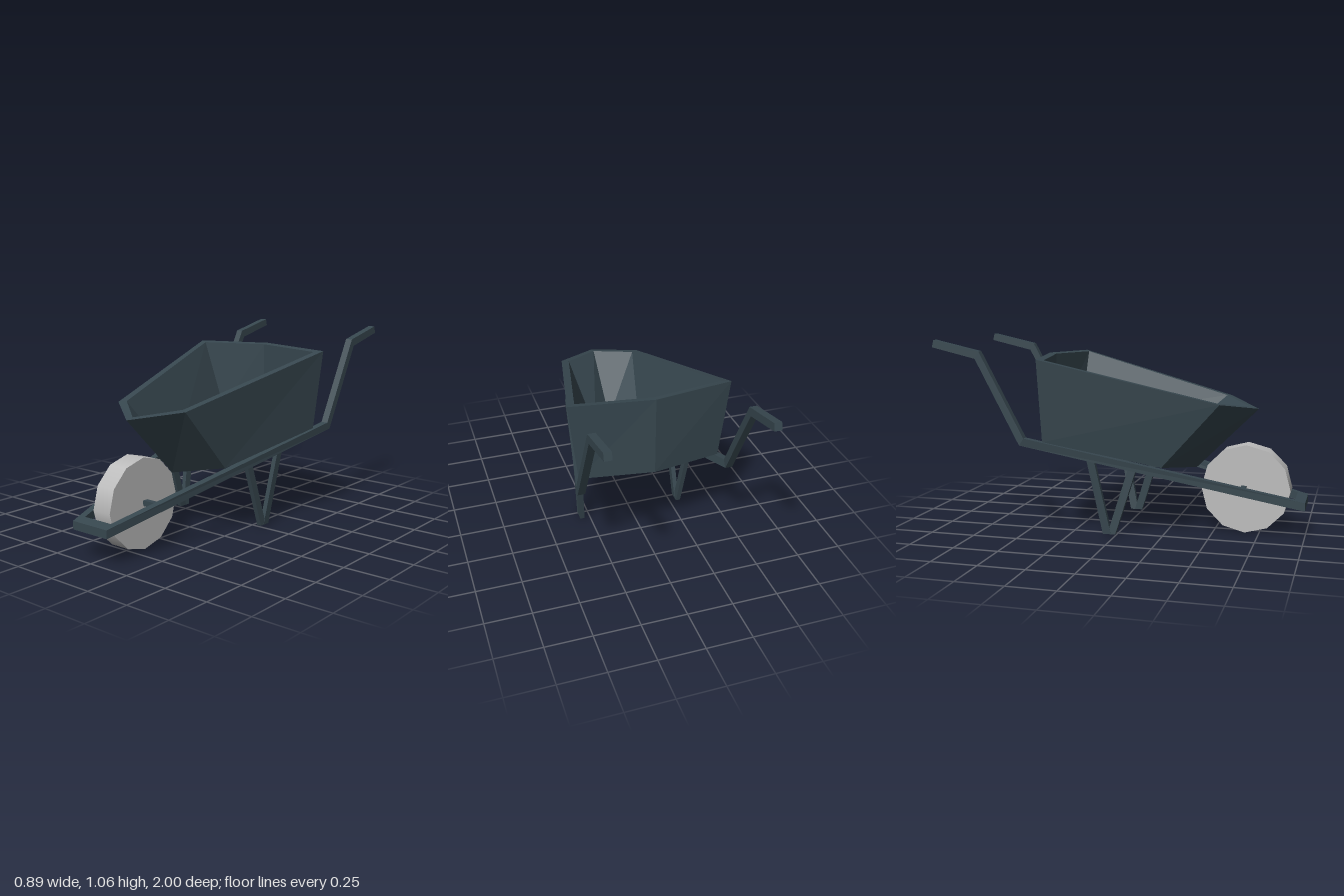
import * as THREE from 'three';

const steel = new THREE.MeshStandardMaterial({ color: 0x37474f });
steel.name = 'dark slate steel';
const rubber = new THREE.MeshStandardMaterial({ color: 0xbdbdbd });
rubber.name = 'light grey wheel';

// Closed faceted solid skinned over equal-length rings of [x, y, z], capped at both ends
function loft(name, rings) {
  const tris = [];
  const n = rings[0].length;
  for (let r = 0; r < rings.length - 1; r++) {
    const a = rings[r], b = rings[r + 1];
    for (let i = 0; i < n; i++) {
      const j = (i + 1) % n;
      tris.push([a[i], a[j], b[j]], [a[i], b[j], b[i]]);
    }
  }
  const first = rings[0], last = rings[rings.length - 1];
  for (let i = 1; i < n - 1; i++) {
    tris.push([first[0], first[i + 1], first[i]], [last[0], last[i], last[i + 1]]);
  }
  // Turn the faces outward if the enclosed volume is negative
  const v = (p) => new THREE.Vector3(...p);
  const volume = tris.reduce((s, [a, b, c]) => s + v(a).dot(v(b).cross(v(c))), 0);
  if (volume < 0) tris.forEach((t) => t.reverse());
  const geometry = new THREE.BufferGeometry();
  geometry.setAttribute('position', new THREE.Float32BufferAttribute(tris.flat(2), 3));
  geometry.computeVertexNormals();
  const mesh = new THREE.Mesh(geometry, steel);
  mesh.name = name;
  return mesh;
}

// Rectangular bar section: x range, then upper and lower [y, z]
const section = (side, x0, x1, [yt, zt], [yb, zb]) => [
  [side * x0, yt, zt], [side * x1, yt, zt], [side * x1, yb, zb], [side * x0, yb, zb],
];

// Horizontal leg section
const legSection = (side, x, y, zFront, zBack, half) => [
  [side * (x - half), y, zFront], [side * (x + half), y, zFront],
  [side * (x + half), y, zBack], [side * (x - half), y, zBack],
];

// Six-sided tub outline: front tip, front corner, back corner, back middle, mirrored
const outline = (tip, corner, back, middle) => {
  const flip = ([x, y, z]) => [-x, y, z];
  return [tip, corner, back, middle, flip(back), flip(corner)];
};

export function createModel() {
  const model = new THREE.Group();
  model.name = 'wheelbarrow';

  // Tub: outside wall, rim, inside wall and raised floor
  model.add(loft('tub', [
    outline([0, 0.345, 0.39], [0.245, 0.378, 0.24], [0.392, 0.515, -0.385], [0, 0.535, -0.475]),
    outline([0, 0.685, 0.73], [0.238, 0.728, 0.55], [0.443, 0.963, -0.395], [0, 0.972, -0.475]),
    outline([0, 0.694, 0.685], [0.2, 0.733, 0.525], [0.397, 0.957, -0.367], [0, 0.966, -0.438]),
    outline([0, 0.395, 0.36], [0.133, 0.435, 0.19], [0.265, 0.565, -0.38], [0, 0.58, -0.438]),
  ]));

  for (const side of [1, -1]) {
    const label = side > 0 ? 'left' : 'right';

    // Side rail rising into the bent handle
    model.add(loft(label + 'RailAndHandle', [
      section(side, 0.08, 0.12, [0.2, 1], [0.155, 1]),
      section(side, 0.39, 0.43, [0.537, -0.478], [0.498, -0.503]),
      section(side, 0.39, 0.43, [1, -0.727], [0.96, -0.75]),
      section(side, 0.39, 0.43, [1.058, -0.99], [1.018, -1]),
    ]));

    // V-shaped pair of legs
    model.add(loft(label + 'FrontLeg', [
      legSection(side, 0.298, 0.008, 0, -0.045, 0.013),
      legSection(side, 0.287, 0.375, 0.115, 0.07, 0.013),
    ]));
    model.add(loft(label + 'BackLeg', [
      legSection(side, 0.298, 0.008, -0.025, -0.07, 0.013),
      legSection(side, 0.327, 0.43, -0.113, -0.155, 0.013),
    ]));
  }

  // Bar joining the rails in front of the wheel
  const barEnd = (x) => [[x, 0.155, 1], [x, 0.2, 1], [x, 0.213, 0.945], [x, 0.168, 0.945]];
  model.add(loft('frontBar', [barEnd(-0.1), barEnd(0.1)]));

  // Wheel and axle
  const wheel = new THREE.Mesh(new THREE.CylinderGeometry(0.245, 0.245, 0.116, 12), rubber);
  wheel.name = 'wheel';
  wheel.rotation.z = Math.PI / 2;
  wheel.position.set(0, 0.246, 0.672);
  const axle = new THREE.Mesh(new THREE.BoxGeometry(0.33, 0.03, 0.03), steel);
  axle.name = 'axle';
  axle.position.set(0, 0.25, 0.664);
  model.add(wheel, axle);

  return model;
}
